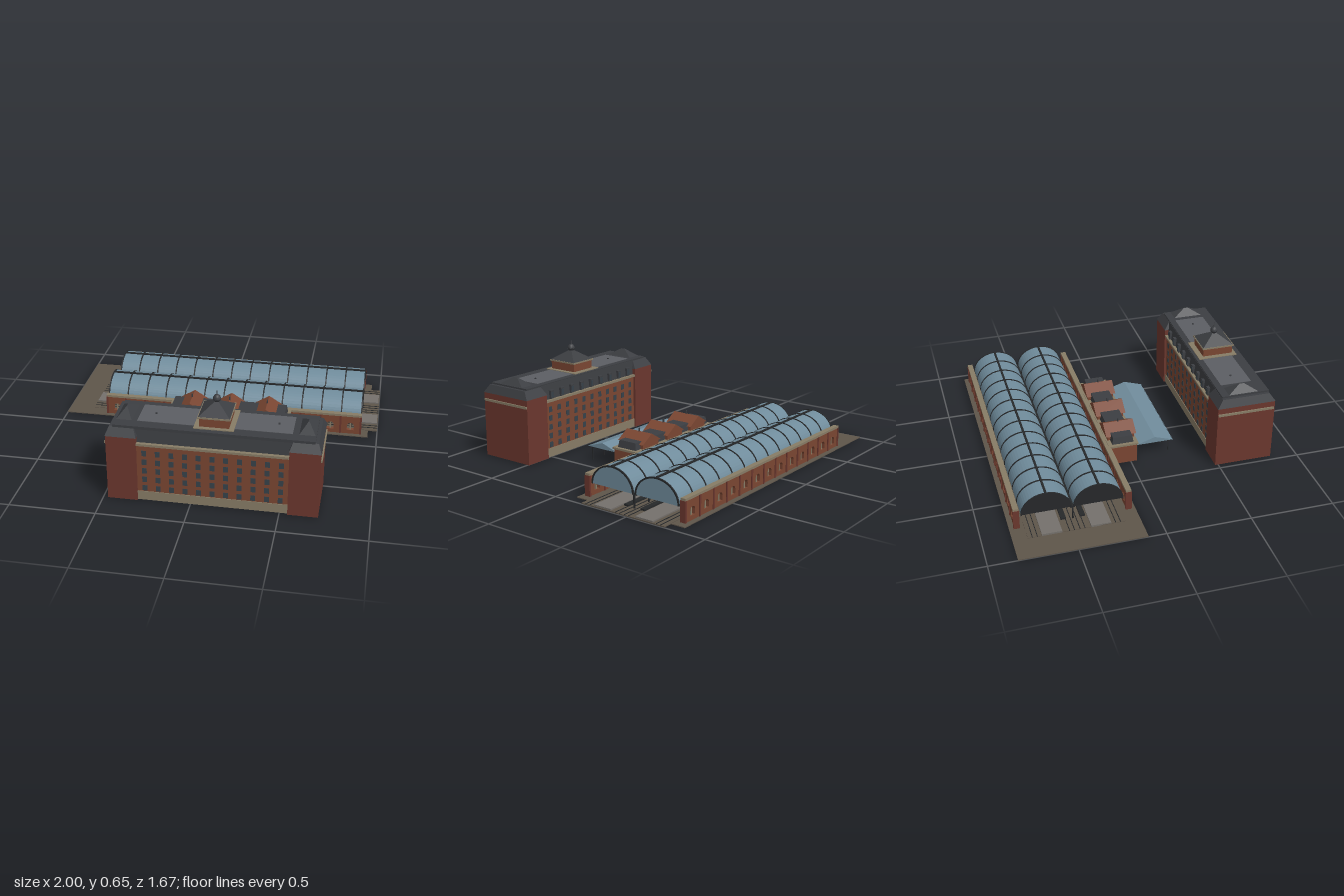
import * as THREE from 'three';

const mat = (c) => new THREE.MeshStandardMaterial({ color: c, flatShading: true, side: THREE.DoubleSide });

export function createModel() {
  const root = new THREE.Group();
  const M = {
    brick: mat(0x7a4632), darkBrick: mat(0x6b372e), stone: mat(0x877c66), slate: mat(0x3c3e42),
    roof: mat(0x5c5e63), glass: mat(0x708c9c), iron: mat(0x26282a), pane: mat(0x37424a),
    ground: mat(0x5e554a), platform: mat(0x74706c),
  };

  const group = (name, parent = root) => {
    const g = new THREE.Group();
    g.name = name;
    parent.add(g);
    return g;
  };
  const add = (parent, name, geo, m) => {
    const mesh = new THREE.Mesh(geo, M[m]);
    mesh.name = name;
    parent.add(mesh);
    return mesh;
  };
  // Box given by its extents
  const box = (p, name, m, x0, x1, y0, y1, z0, z1) => add(p, name,
    new THREE.BoxGeometry(x1 - x0, y1 - y0, z1 - z0).translate((x0 + x1) / 2, (y0 + y1) / 2, (z0 + z1) / 2), m);
  // Box whose top is narrowed by ix and iz on each side: mansards, hips, gables
  const taper = (p, name, m, x0, x1, y0, y1, z0, z1, ix, iz) => {
    const mesh = box(p, name, m, x0, x1, y0, y1, z0, z1);
    const pos = mesh.geometry.attributes.position;
    const cx = (x0 + x1) / 2, cz = (z0 + z1) / 2, cy = (y0 + y1) / 2;
    for (let i = 0; i < pos.count; i++) {
      if (pos.getY(i) < cy) continue;
      pos.setX(i, pos.getX(i) - Math.sign(pos.getX(i) - cx) * ix);
      pos.setZ(i, pos.getZ(i) - Math.sign(pos.getZ(i) - cz) * iz);
    }
    mesh.geometry.computeVertexNormals();
    return mesh;
  };
  // Half-elliptical vault along x; t = 0 gives a filled panel
  const vault = (p, name, m, zc, y, rz, ry, t, x0, x1) => {
    const s = new THREE.Shape();
    s.absellipse(0, 0, rz, ry, 0, Math.PI, false);
    if (t) s.absellipse(0, 0, rz - t, ry - t, Math.PI, 0, true);
    const geo = new THREE.ExtrudeGeometry(s, { depth: x1 - x0, bevelEnabled: false, curveSegments: 12 });
    return add(p, name, geo.rotateY(-Math.PI / 2).translate(x1, y, zc), m);
  };
  const archPath = (Type, cx, y0, w, h) => {
    const s = new Type(), r = w / 2;
    s.moveTo(cx - r, y0);
    s.lineTo(cx + r, y0);
    s.lineTo(cx + r, y0 + h - r);
    s.absarc(cx, y0 + h - r, r, 0, Math.PI, false);
    s.lineTo(cx - r, y0);
    return s;
  };

  // ---- Ground and tracks ----
  const yard = group('trainYard');
  box(yard, 'groundSlab', 'ground', -1, 0.943, 0, 0.005, -0.835, -0.105);
  box(yard, 'trackBed', 'ground', -0.84, 1, 0.002, 0.008, -0.75, -0.19);
  for (const [z0, z1] of [[-0.67, -0.555], [-0.39, -0.275]])
    box(yard, 'platform', 'platform', -0.84, 0.995, 0.005, 0.016, z0, z1);
  for (const z of [-0.415, -0.525])
    box(yard, 'lowPlatform', 'iron', -0.735, 0.895, 0.005, 0.018, z - 0.015, z + 0.015);
  for (const zc of [-0.71, -0.5, -0.44, -0.235])
    for (const d of [-0.014, 0.014])
      box(yard, 'rail', 'iron', -0.84, 1, 0.007, 0.011, zc + d - 0.002, zc + d + 0.002);

  // ---- Train shed ----
  const X0 = -0.735, X1 = 0.895, BAYS = 13, step = (X1 - X0) / BAYS;
  const shed = group('trainShed');
  for (const zc of [-0.62, -0.32]) {
    vault(shed, 'glassVault', 'glass', zc, 0.087, 0.143, 0.123, 0.004, X0, X1);
    vault(shed, 'rightGable', 'glass', zc, 0.087, 0.141, 0.121, 0, X1 - 0.003, X1);
    vault(shed, 'leftGable', 'iron', zc, 0.087, 0.139, 0.119, 0, X0 + 0.002, X0 + 0.006);
    box(shed, 'ridge', 'iron', X0, X1, 0.206, 0.218, zc - 0.006, zc + 0.006);
    for (let i = 0; i <= BAYS; i++) {
      const x = X0 + i * step;
      vault(shed, 'rib', 'iron', zc, 0.087, 0.146, 0.127, 0.009, x - 0.004, x + 0.004);
    }
  }
  box(shed, 'valleyGutter', 'iron', X0, X1, 0.082, 0.092, -0.485, -0.455);
  for (let i = 0; i <= BAYS; i++) {
    const x = X0 + i * step;
    box(shed, 'column', 'iron', x - 0.004, x + 0.004, 0.005, 0.085, -0.474, -0.466);
  }

  // Side walls with arched openings
  const wallShape = new THREE.Shape();
  wallShape.moveTo(X0, 0.005).lineTo(X1, 0.005).lineTo(X1, 0.125).lineTo(X0, 0.125).lineTo(X0, 0.005);
  for (let i = 0; i < BAYS; i++)
    wallShape.holes.push(archPath(THREE.Path, X0 + (i + 0.5) * step, 0.03, 0.044, 0.05));
  for (const [name, z0, z1] of [['frontWall', -0.158, -0.132], ['backWall', -0.805, -0.779]]) {
    const w = group(name);
    add(w, 'archedWall', new THREE.ExtrudeGeometry(wallShape,
      { depth: z1 - z0, bevelEnabled: false, curveSegments: 8 }).translate(0, 0, z0), 'brick');
    box(w, 'coping', 'stone', X0 - 0.004, X1 + 0.004, 0.124, 0.138, z0 - 0.003, z1 + 0.003);
    for (let i = 0; i <= BAYS; i++) {
      const x = X0 + i * step;
      box(w, 'pilaster', 'darkBrick', x - 0.006, x + 0.006, 0.005, 0.125, z0 - 0.005, z1 + 0.005);
    }
    for (let i = 0; i < BAYS; i++) {
      const x = X0 + (i + 0.5) * step, zc = (z0 + z1) / 2;
      box(w, 'mullion', 'stone', x - 0.004, x + 0.004, 0.03, 0.08, zc - 0.006, zc + 0.006);
    }
  }

  // ---- Headhouse with three gabled pavilions ----
  const head = group('headhouse');
  box(head, 'body', 'brick', -0.295, 0.45, 0.005, 0.13, -0.135, 0.037);
  box(head, 'cornice', 'stone', -0.305, 0.46, 0.128, 0.14, -0.14, 0.043);
  taper(head, 'lowRoof', 'slate', -0.285, 0.44, 0.14, 0.183, -0.115, 0.017, 0.008, 0.006);
  for (const x of [-0.157, 0.08, 0.317]) {
    box(head, 'pavilionWall', 'brick', x - 0.075, x + 0.075, 0.13, 0.17, -0.132, 0.034);
    taper(head, 'pavilionGable', 'brick', x - 0.085, x + 0.085, 0.168, 0.22, -0.14, 0.047, 0.084, 0);
    box(head, 'finial', 'slate', x - 0.004, x + 0.004, 0.215, 0.24, -0.05, -0.042);
    for (const dx of [-0.045, 0, 0.045])
      add(head, 'archedDoor', new THREE.ShapeGeometry(archPath(THREE.Shape, x + dx, 0.01, 0.03, 0.075), 8)
        .translate(0, 0, 0.039), 'pane');
  }

  // Entrance canopy
  const canopy = group('canopy');
  taper(canopy, 'canopyRoof', 'glass', -0.26, 0.416, 0.092, 0.13, 0.043, 0.276, 0, 0.116);
  box(canopy, 'canopyEdge', 'iron', -0.258, 0.414, 0.088, 0.093, 0.045, 0.274);
  for (let i = 0; i < 7; i++)
    for (const z of [0.055, 0.252]) {
      const x = -0.24 + i * 0.106;
      box(canopy, 'post', 'iron', x - 0.003, x + 0.003, 0.005, 0.09, z - 0.003, z + 0.003);
    }

  // ---- Tall hotel block ----
  const hotel = group('hotel'), C = 0.123;
  box(hotel, 'mainBlock', 'brick', -0.46, 0.706, 0.005, 0.36, 0.492, 0.82);
  box(hotel, 'stoneBase', 'stone', -0.305, 0.55, 0.005, 0.06, 0.488, 0.824);
  box(hotel, 'cornice', 'stone', -0.478, 0.724, 0.352, 0.366, 0.48, 0.828);
  taper(hotel, 'mansard', 'slate', -0.32, 0.566, 0.364, 0.455, 0.498, 0.808, 0, 0.012);
  box(hotel, 'roofEdge', 'slate', -0.435, 0.681, 0.445, 0.462, 0.512, 0.806);
  box(hotel, 'roofDeck', 'roof', -0.31, 0.552, 0.46, 0.464, 0.55, 0.742);
  for (const side of [-1, 1]) {
    const x = C + side * 0.508;
    box(hotel, 'endTower', 'darkBrick', x - 0.085, x + 0.085, 0.005, 0.405, 0.478, 0.836);
    taper(hotel, 'towerMansard', 'slate', x - 0.088, x + 0.088, 0.403, 0.452, 0.476, 0.838, 0.02, 0.035);
    taper(hotel, 'towerHip', 'slate', x - 0.048, x + 0.048, 0.458, 0.506, 0.55, 0.748, 0.046, 0.085);
    box(hotel, 'roofVent', 'slate', C + side * 0.345 - 0.005, C + side * 0.345 + 0.005, 0.462, 0.47, 0.64, 0.65);
  }

  // Window grid on both long faces
  for (let r = 0; r < 5; r++)
    for (let c = 0; c < 11; c++) {
      const x = C + (c - 5) * 0.0762, y = 0.082 + r * 0.0555;
      for (const z of [0.491, 0.821])
        box(hotel, 'window', 'pane', x - 0.0135, x + 0.0135, y - 0.017, y + 0.017, z - 0.001, z + 0.001);
    }
  // Back dormers
  for (let i = 0; i < 9; i++) {
    const x = C + (i - 4) * 0.091;
    box(hotel, 'dormer', 'slate', x - 0.014, x + 0.014, 0.368, 0.42, 0.488, 0.515);
    box(hotel, 'dormerWindow', 'pane', x - 0.009, x + 0.009, 0.376, 0.41, 0.486, 0.489);
  }

  // Rooftop cupola
  const cupola = group('cupola', hotel);
  box(cupola, 'plinth', 'stone', C - 0.112, C + 0.112, 0.46, 0.467, 0.53, 0.775);
  box(cupola, 'lantern', 'brick', C - 0.083, C + 0.083, 0.464, 0.52, 0.563, 0.753);
  box(cupola, 'eave', 'stone', C - 0.092, C + 0.092, 0.517, 0.526, 0.556, 0.76);
  taper(cupola, 'hipRoof', 'slate', C - 0.088, C + 0.088, 0.526, 0.588, 0.56, 0.756, 0.084, 0.094);
  add(cupola, 'dome', new THREE.SphereGeometry(0.023, 12, 6, 0, Math.PI * 2, 0, Math.PI / 2)
    .scale(1, 1.3, 1).translate(C, 0.594, 0.658), 'slate');
  add(cupola, 'domeBase', new THREE.CylinderGeometry(0.024, 0.015, 0.014, 12).translate(C, 0.589, 0.658), 'slate');
  add(cupola, 'spire', new THREE.CylinderGeometry(0.001, 0.004, 0.03, 6).translate(C, 0.635, 0.658), 'slate');

  return root;
}
